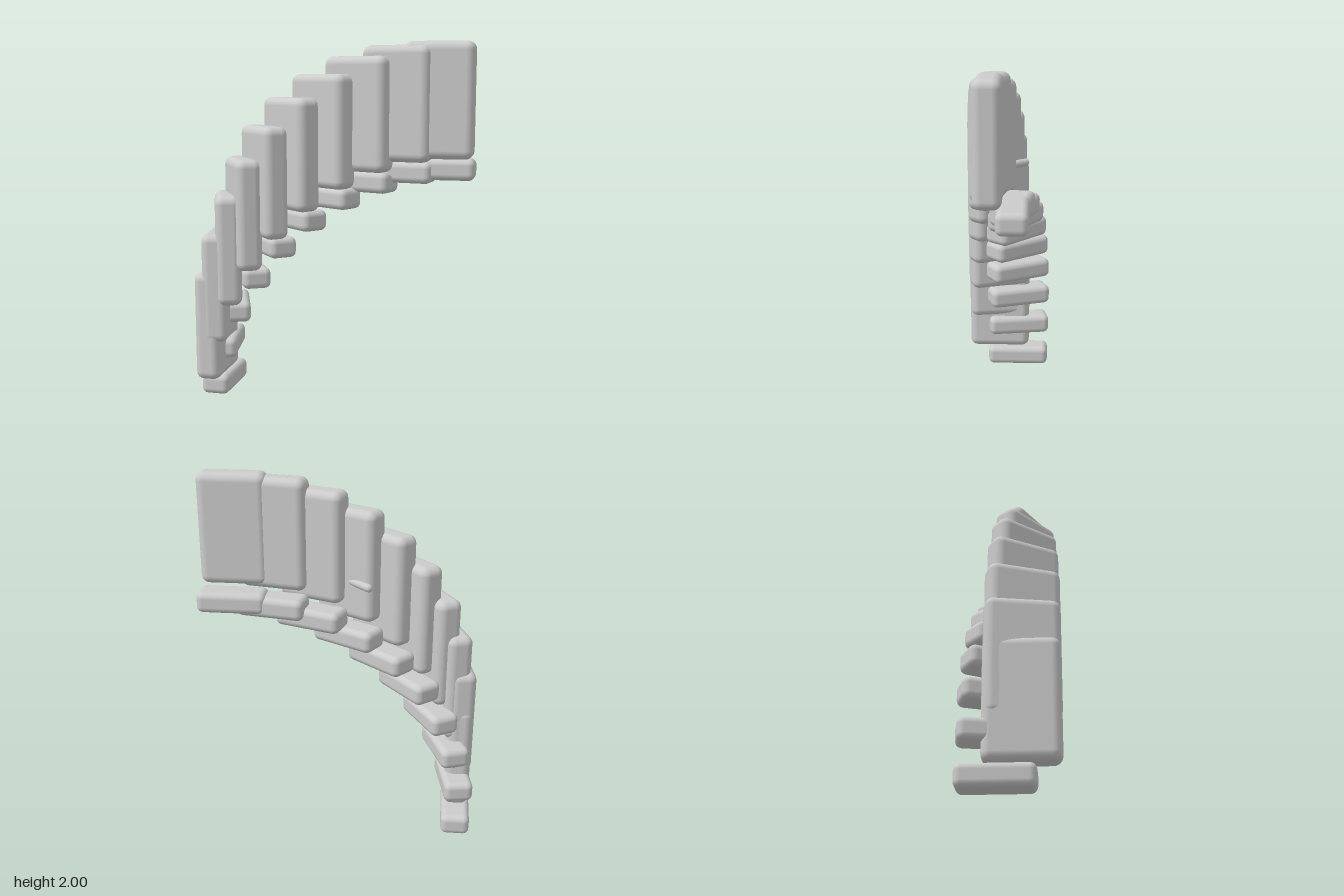
import * as THREE from 'three';
import { RoundedBoxGeometry } from 'three/addons/geometries/RoundedBoxGeometry.js';

export function createModel() {
  const model = new THREE.Group();
  model.name = 'fannedArch';
  const material = new THREE.MeshStandardMaterial({ color: 0xcccccc });

  const add = (name, geometry, x, y, z, turn) => {
    const mesh = new THREE.Mesh(geometry, material);
    mesh.name = name;
    mesh.position.set(x, y, z);
    mesh.rotation.y = turn;
    model.add(mesh);
  };

  const slab = new RoundedBoxGeometry(0.375, 0.615, 0.143, 3, 0.045);
  const block = new RoundedBoxGeometry(0.378, 0.117, 0.162, 3, 0.035);

  // Ten slab and block pairs climb a quarter circle, each turned ten degrees further
  const count = 10, radius = 1.263;
  for (let i = 0; i < count; i++) {
    const angle = (i / (count - 1)) * Math.PI / 2;
    const x = 0.58 - radius * Math.cos(angle);
    const y = 0.431 + radius * Math.sin(angle);
    const turn = angle - Math.PI / 2;
    add('slab' + (i + 1), slab, x, y, 0.063, turn);
    add('block' + (i + 1), block, x, y - 0.372, -0.055, turn);
  }

  // Short round peg sticking out of the back of the seventh slab
  const peg = new THREE.CapsuleGeometry(0.022, 0.15, 4, 12);
  peg.rotateZ(Math.PI / 2);
  add('peg', peg, -0.11, 1.435, -0.05, -Math.PI / 4);

  return model;
}
